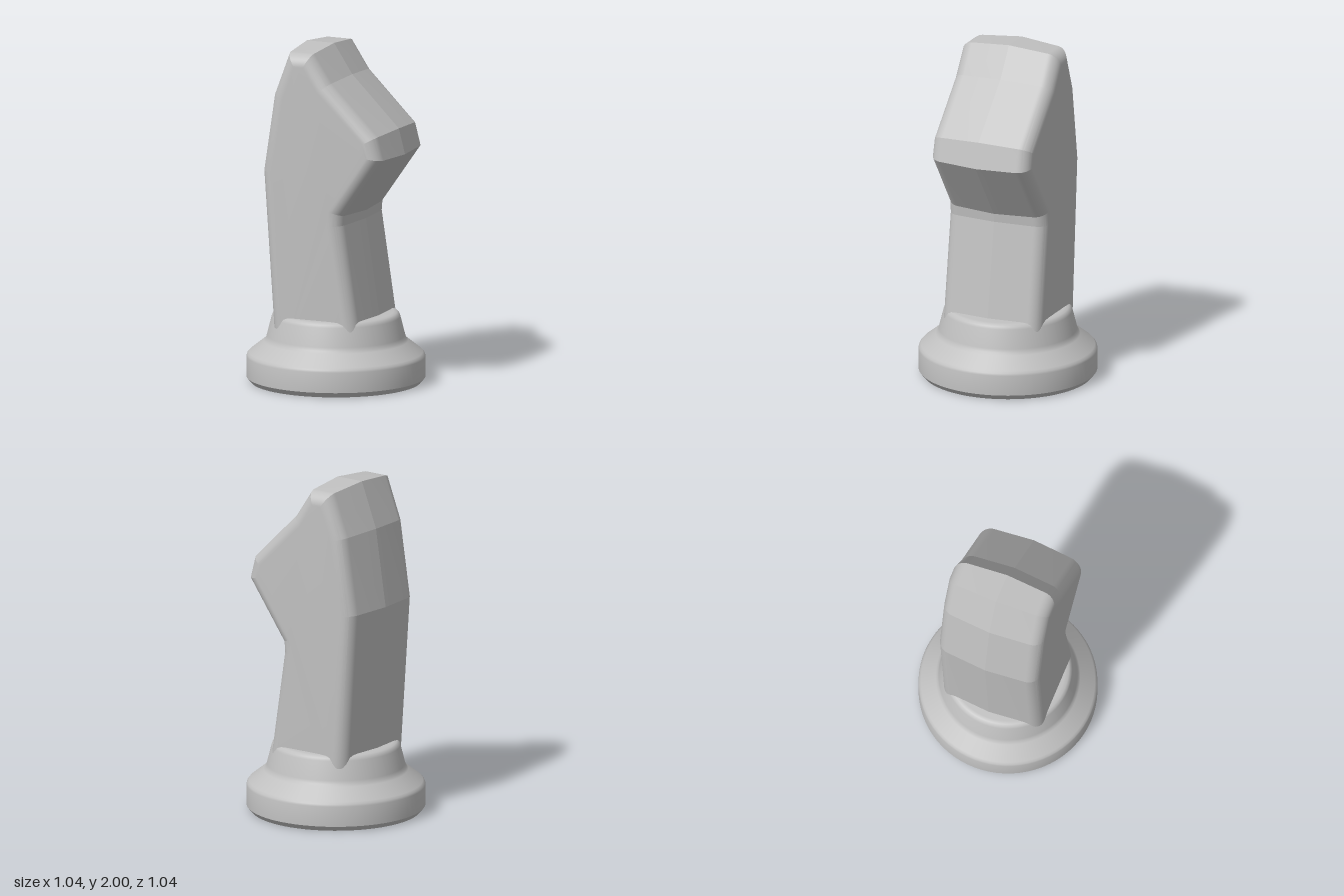
import * as THREE from 'three';
import { toCreasedNormals } from 'three/addons/utils/BufferGeometryUtils.js';

// Side outline of the grip, counter-clockwise seen from the front.
const OUTLINE = [
  [-0.278, 0.1], [0.327, 0.1], [0.193, 0.98], [0.197, 1.03], [0.445, 1.38],
  [0.405, 1.53], [0.105, 1.825], [-0.012, 2], [-0.188, 2], [-0.29, 1.73], [-0.36, 1.27],
].map(([x, y]) => new THREE.Vector2(x, y));

// Move every edge of a closed outline inwards by d, with mitred corners.
function inset(points, d) {
  const n = points.length;
  return points.map((p, i) => {
    const a = p.clone().sub(points[(i + n - 1) % n]).normalize();
    const b = points[(i + 1) % n].clone().sub(p).normalize();
    const na = new THREE.Vector2(-a.y, a.x);
    const nb = new THREE.Vector2(-b.y, b.x);
    return na.clone().add(nb).multiplyScalar(d / (1 + na.dot(nb))).add(p);
  });
}

// Slices from back to front: slightly crowned in the middle, rounded at the sides.
function gripGeometry() {
  const half = [];
  const steps = 12, start = 0.085, r = 0.08;
  for (let i = 0; i <= steps; i++) {
    const t = start + (Math.PI / 2 - start) * i / steps;
    half.push([0.235 + r * Math.sin(t), 0.02 + r * (1 - Math.cos(t))]);
  }
  const slices = [...half.map(([z, d]) => [-z, d]).reverse(), [0, 0], ...half];
  const n = OUTLINE.length, pos = [], index = [];
  for (const [z, d] of slices) for (const p of inset(OUTLINE, d)) pos.push(p.x, p.y, z);
  for (let s = 0; s < slices.length - 1; s++) {
    for (let i = 0; i < n; i++) {
      const a = s * n + i, b = s * n + (i + 1) % n;
      index.push(a, b, b + n, a, b + n, a + n);
    }
  }
  // Flat side faces
  const last = (slices.length - 1) * n;
  for (const [a, b, c] of THREE.ShapeUtils.triangulateShape(inset(OUTLINE, 0.1), [])) {
    index.push(a, c, b, last + a, last + b, last + c);
  }
  const g = new THREE.BufferGeometry();
  g.setAttribute('position', new THREE.Float32BufferAttribute(pos, 3));
  g.setIndex(index);
  return toCreasedNormals(g, 0.155);
}

// Turned foot with a chamfered flange and a tapered neck.
function baseGeometry() {
  const profile = [
    [0, 0], [0.495, 0], [0.52, 0.03], [0.52, 0.15], [0.516, 0.163], [0.505, 0.175],
    [0.42, 0.242], [0.408, 0.255], [0.402, 0.275], [0.374, 0.385], [0.368, 0.4],
    [0.355, 0.411], [0.335, 0.414], [0, 0.414],
  ].map(([x, y]) => new THREE.Vector2(x, y));
  return toCreasedNormals(new THREE.LatheGeometry(profile, 72), 0.62);
}

export function createModel() {
  const grey = new THREE.MeshStandardMaterial({ color: 0xc0c0c0 });
  grey.name = 'grey';
  const group = new THREE.Group();
  group.name = 'knob';
  const add = (name, geometry) => {
    const mesh = new THREE.Mesh(geometry, grey);
    mesh.name = name;
    group.add(mesh);
  };
  add('base', baseGeometry());
  add('grip', gripGeometry());
  return group;
}
